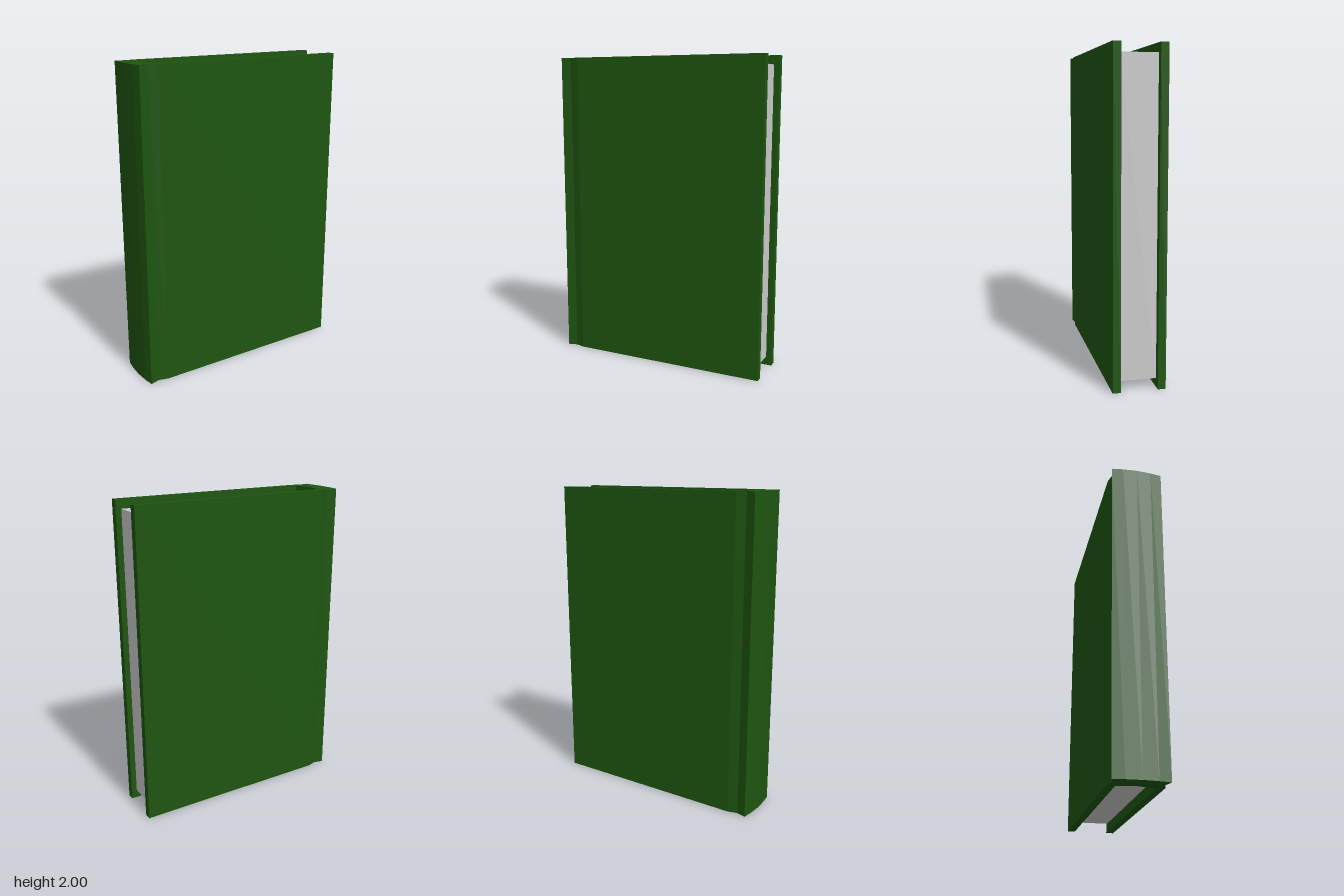
import * as THREE from 'three';

// Upright prism from an outline in the x/z plane (outlines are symmetric in z)
function prism(outline, y0, y1) {
  const shape = new THREE.Shape(outline.map(([x, z]) => new THREE.Vector2(x, z)));
  const geometry = new THREE.ExtrudeGeometry(shape, { depth: y1 - y0, bevelEnabled: false });
  geometry.rotateX(-Math.PI / 2);
  geometry.translate(0, y0, 0);
  return geometry;
}

// Complete a half outline (z >= 0) by mirroring it across z = 0
function mirrored(half) {
  const other = half.filter(([, z]) => z > 0).map(([x, z]) => [x, -z]).reverse();
  return [...half, ...other];
}

export function createModel() {
  const book = new THREE.Group();
  book.name = 'book';

  // Cover: rounded spine, hinge groove and two boards in one wrap
  const outer = mirrored([
    [0.715, 0.16], [-0.58, 0.16], [-0.64, 0.143], [-0.7, 0.16], [-0.71, 0.09], [-0.715, 0],
  ]);
  const inner = mirrored([[0.715, 0.112], [-0.582, 0.112], [-0.605, 0]]).reverse();
  const coverGeometry = prism([...outer, ...inner], 0, 2);

  // The inside of the spine leans slightly towards the pages at the foot
  const position = coverGeometry.attributes.position;
  for (let i = 0; i < position.count; i++) {
    const x = position.getX(i);
    const inside = x < -0.57 && x > -0.61 && Math.abs(position.getZ(i)) < 0.13;
    if (inside && position.getY(i) < 1) position.setX(i, x + 0.017);
  }
  coverGeometry.computeVertexNormals();
  const cover = new THREE.Mesh(
    coverGeometry,
    new THREE.MeshStandardMaterial({ color: 0x1e5510, flatShading: true }),
  );
  cover.name = 'cover';
  book.add(cover);

  // Page block, set back from the edges of the boards
  const pages = new THREE.Mesh(
    prism(mirrored([[0.68, 0.11], [-0.568, 0.11], [-0.59, 0]]), 0.057, 1.945),
    new THREE.MeshStandardMaterial({ color: 0xcccccc, flatShading: true }),
  );
  pages.name = 'pages';
  book.add(pages);

  return book;
}
